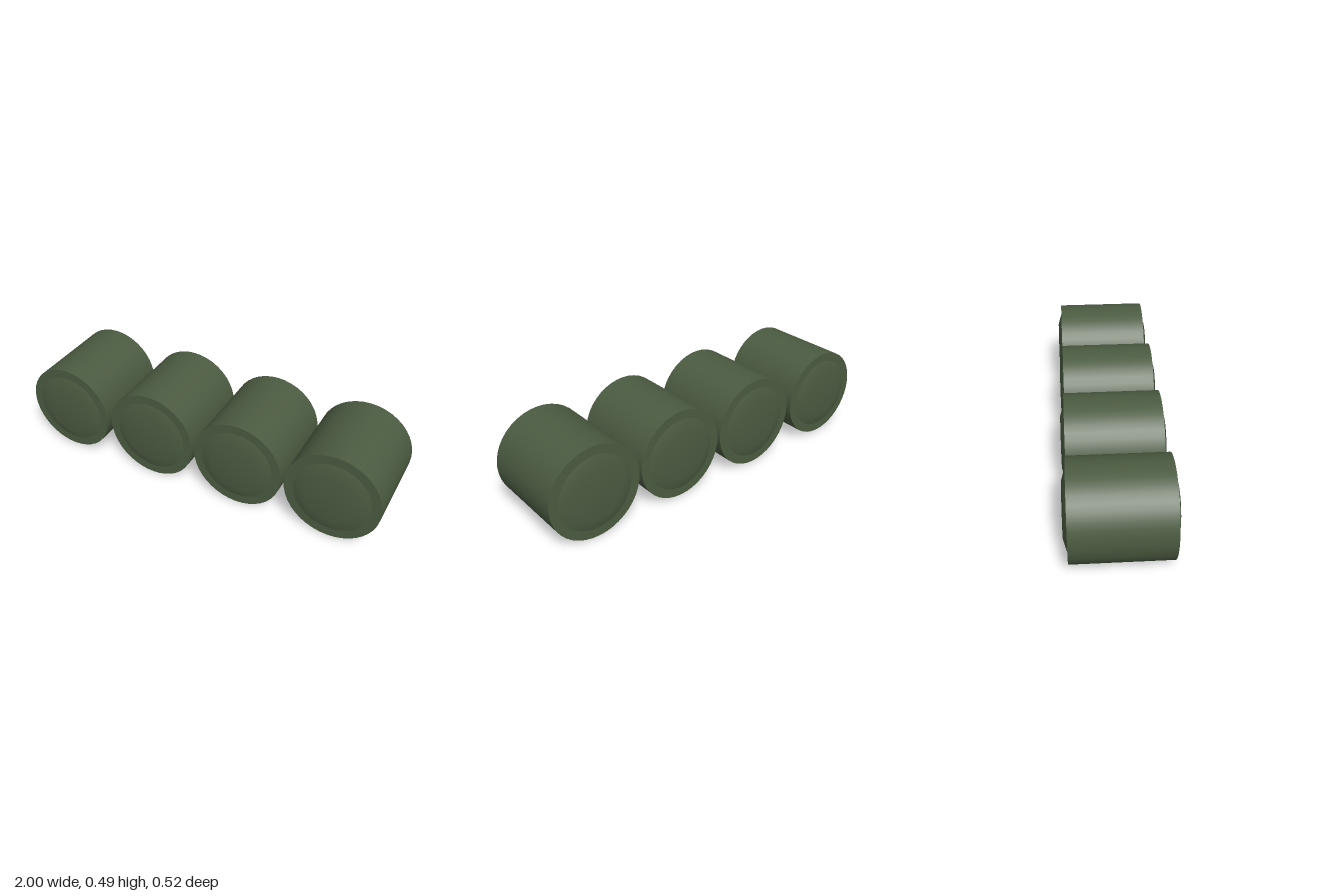
import * as THREE from 'three';

const SEGMENTS = 40;

// Revolve a short [radius, z] profile around the z axis
function revolve(profile, material, name) {
  const points = profile.map(([r, z]) => new THREE.Vector2(r, z));
  const geometry = new THREE.LatheGeometry(points, SEGMENTS);
  geometry.rotateX(Math.PI / 2);
  const mesh = new THREE.Mesh(geometry, material);
  mesh.name = name;
  return mesh;
}

// One drum lying on its side: straight wall, flat rims and raised end caps
function createDrum(radius, material) {
  const drum = new THREE.Group();
  const half = 0.238;
  const capOuter = radius * 0.805;
  const capInner = radius * 0.545;
  drum.add(revolve([[radius, -half], [radius, half]], material, 'drumWall'));

  for (const [side, angle] of [['front', 0], ['back', Math.PI]]) {
    const end = new THREE.Group();
    end.name = side + 'End';
    end.add(revolve([[radius, half], [capOuter, half]], material, side + 'Rim'));
    end.add(revolve([[capOuter, half], [capInner, 0.257], [0, 0.257]], material, side + 'Cap'));
    end.rotation.y = angle;
    drum.add(end);
  }
  return drum;
}

export function createModel() {
  const model = new THREE.Group();
  model.name = 'drumRow';
  const green = new THREE.MeshStandardMaterial({ color: 0x4b5b41 });

  // Four drums side by side: [x, radius, z]
  const drums = [
    [-0.76, 0.24, -0.001],
    [-0.246, 0.244, 0],
    [0.253, 0.24, 0.002],
    [0.754, 0.246, -0.001],
  ];
  drums.forEach(([x, radius, z], i) => {
    const drum = createDrum(radius, green);
    drum.name = 'drum' + (i + 1);
    drum.position.set(x, 0.246, z);
    model.add(drum);
  });
  return model;
}
